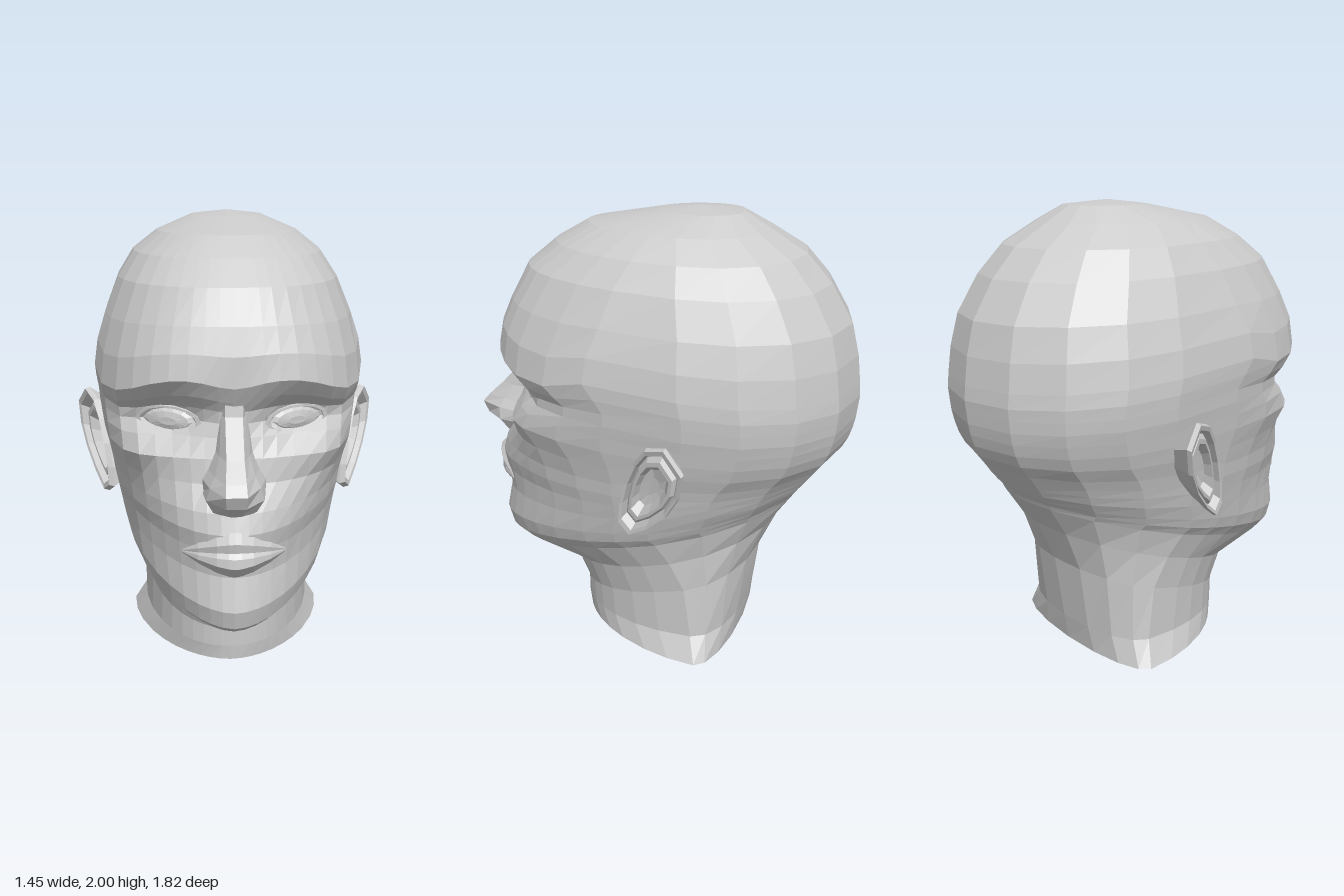
import * as THREE from 'three';

const material = new THREE.MeshStandardMaterial({ color: 0xcccccc, flatShading: true });

// Skin a stack of closed rings, with a fan at each end.
function loft(name, rings) {
  const n = rings[0].length, last = rings.length - 1;
  const points = rings.flat();
  const middle = (ring) => [0, 1, 2].map((k) => ring.reduce((s, p) => s + p[k], 0) / n);
  const start = points.push(middle(rings[0])) - 1;
  const end = points.push(middle(rings[last])) - 1;
  const index = [];
  for (let j = 0; j < n; j++) {
    const k = (j + 1) % n;
    index.push(start, j, k, end, last * n + k, last * n + j);
    for (let i = 0; i < last; i++) {
      const a = i * n + j, b = i * n + k;
      index.push(a, a + n, b, b, a + n, b + n);
    }
  }
  const geometry = new THREE.BufferGeometry();
  geometry.setAttribute('position', new THREE.Float32BufferAttribute(points.flat(), 3));
  geometry.setIndex(index);
  geometry.computeVertexNormals();
  const mesh = new THREE.Mesh(geometry, material);
  mesh.name = name;
  return mesh;
}

const mirror = (rings) => rings.map((r) => r.map(([x, y, z]) => [-x, y, z]).reverse());

// Soft push around a spot on both sides of the face: x, y, radius x, radius y, up, forward.
const bumps = [
  [0.5, 1.38, 0.16, 0.15, -0.07, 0],   // outer end of the brow
  [0, 1.38, 0.12, 0.12, -0.04, 0],     // dip between the brows
  [0.27, 1.21, 0.15, 0.08, 0, -0.1],   // eye sockets
  [0.22, 1.38, 0.16, 0.04, 0, 0.015],  // brow ridge
  [0.45, 1.07, 0.13, 0.1, 0, 0.06],    // cheekbones
  [0.34, 0.76, 0.1, 0.12, 0, -0.02],   // hollows beside the mouth
];
function sculpt([x, y, z]) {
  const fade = THREE.MathUtils.smoothstep(z, 0.1, 0.35);
  let up = 0, forward = 0;
  for (const [bx, by, rx, ry, dy, dz] of bumps) {
    const g = fade * Math.exp(-(((Math.abs(x) - bx) / rx) ** 2) - ((y - by) / ry) ** 2);
    up += dy * g;
    forward += dz * g;
  }
  return [x, y + up, z + forward];
}

// Skull, face, jaw and neck: front y, back y, front z, back z, half width, squareness.
const headRings = [
  [1.98, 1.98, 0, -0.38, 0.16, 2],
  [1.92, 1.91, 0.32, -0.5, 0.32, 2],
  [1.84, 1.82, 0.46, -0.65, 0.43, 2.2],
  [1.74, 1.7, 0.58, -0.76, 0.5, 2.4],
  [1.6, 1.54, 0.65, -0.855, 0.56, 2.6],
  [1.5, 1.4, 0.685, -0.89, 0.595, 2.8],
  [1.4, 1.28, 0.69, -0.905, 0.61, 2.9],
  [1.33, 1.22, 0.66, -0.91, 0.61, 2.75],
  [1.27, 1.17, 0.64, -0.905, 0.605, 2.6],
  [1.21, 1.12, 0.64, -0.9, 0.6, 2.6],
  [1.15, 1.07, 0.65, -0.89, 0.59, 2.65],
  [1.07, 1.02, 0.67, -0.875, 0.58, 2.55],
  [0.97, 0.97, 0.69, -0.85, 0.565, 2.3],
  [0.87, 0.92, 0.765, -0.81, 0.55, 1.97],
  [0.79, 0.88, 0.795, -0.78, 0.54, 1.87],
  [0.71, 0.85, 0.785, -0.757, 0.53, 1.8],
  [0.6, 0.82, 0.77, -0.735, 0.515, 1.8],
  [0.46, 0.79, 0.805, -0.71, 0.495, 1.75],
  [0.38, 0.77, 0.785, -0.69, 0.48, 1.72],
  [0.33, 0.75, 0.71, -0.68, 0.455, 1.72],
  [0.28, 0.61, 0.42, -0.58, 0.42, 1.9],
  [0.16, 0.42, 0.36, -0.495, 0.405, 2],
  [0.07, 0.12, 0.36, -0.45, 0.41, 2],
  [0, 0, 0.355, -0.43, 0.47, 1.8],
];
function headRing([yF, yB, zF, zB, w, n]) {
  // Widest point, moving back towards the shoulders at the foot of the neck.
  const zW = zB + (zF - zB) * (0.15 + 0.25 * Math.min(1, yF / 0.28));
  const half = [0, 0.1, 0.2, 0.3, 0.42, 0.54, 0.66, 0.78, 0.9, 0.97, 1]
    .map((u) => [u * w, zW + (zF - zW) * (1 - u ** n) ** (1 / n)]);
  for (const degrees of [22, 44, 66, 90]) {
    const a = THREE.MathUtils.degToRad(degrees);
    half.push([degrees === 90 ? 0 : w * Math.cos(a), zW - (zW - zB) * Math.sin(a)]);
  }
  const other = half.slice(1, -1).reverse().map(([x, z]) => [-x, z]);
  return [...half, ...other].map(([x, z]) =>
    sculpt([x, yB + (yF - yB) * (z - zB) / (zF - zB), z]));
}

// Nose: y, ridge half width and z, wing half width and z, root half width and z.
const noseRings = [
  [1.33, 0.035, 0.645, 0.05, 0.62, 0.07, 0.56],
  [1.24, 0.035, 0.66, 0.05, 0.62, 0.07, 0.55],
  [1.1, 0.035, 0.795, 0.06, 0.72, 0.085, 0.6],
  [1.03, 0.04, 0.87, 0.08, 0.77, 0.11, 0.64],
  [0.99, 0.042, 0.905, 0.1, 0.79, 0.13, 0.66],
  [0.935, 0.038, 0.88, 0.115, 0.78, 0.13, 0.66],
  [0.87, 0.02, 0.79, 0.085, 0.745, 0.1, 0.66],
].map(([y, r, zr, m, zm, b, zb]) => {
  const right = [[r, y, zr], [m, y, zm], [b, y, zb]];
  return [...right, ...mirror([right])[0]];
});

// Lips: one profile swept from corner to corner, thinning outwards.
const lipProfile = [[0.085, 0], [0.05, 0.042], [0.01, 0.035], [0, 0.012],
  [-0.02, 0.03], [-0.06, 0.035], [-0.115, -0.015], [-0.01, -0.06]];
const lipRings = [1, 0.7, 0.35, 0.12, 0, -0.12, -0.35, -0.7, -1].map((u) => {
  const taper = 0.08 + 0.92 * (1 - Math.abs(u) ** 1.5);
  return lipProfile.map(([y, z]) =>
    [0.21 * u, 0.72 - 0.035 * u * u + y * taper, 0.79 - 0.11 * u * u + z * taper]);
});

// Eye: almond outline from the eyeball out over the lid to the socket.
const eyeRings = [[0.3, 0.022], [0.7, 0.015], [0.92, 0], [0.97, 0.022], [1.12, 0.022], [1.4, -0.05]]
  .map(([s, lift]) => Array.from({ length: 14 }, (_, i) => {
    const a = (i / 14) * Math.PI * 2;
    const x = 0.265 + 0.122 * Math.cos(a) * Math.min(s, 1.15);
    const d = x - 0.13;
    const height = Math.sin(a) > 0 ? 0.06 : 0.045;
    return [x, 1.195 + height * s * Math.sin(a), 0.575 - 0.2 * d - 1.1 * d * d + lift];
  }));

// Ear: outline as z, y; rings run from the hollow over the rim to the root.
const earOutline = [[-0.24, 1.155], [-0.14, 1.12], [-0.08, 1.04], [-0.03, 0.93], [0, 0.82],
  [0.01, 0.73], [-0.05, 0.69], [-0.15, 0.76], [-0.25, 0.86], [-0.31, 0.96], [-0.33, 1.07]];
const earRings = [[0.2, -0.06], [0.42, -0.05], [0.58, 0], [0.68, 0], [0.78, -0.02],
  [0.87, 0.02], [0.97, 0.025], [1, 0], [0.92, -0.03], [0.62, -0.15]]
  .map(([s, lift]) => earOutline.map(([oz, oy]) => {
    const z = -0.15 + (oz + 0.15) * s, y = 0.92 + (oy - 0.92) * s;
    return [0.54 - 0.5 * z + lift, y, z];
  }));

export function createModel() {
  const model = new THREE.Group();
  model.name = 'headBust';
  model.add(
    loft('headAndNeck', [Array(28).fill([0, 2, -0.18]), ...headRings.map(headRing)]),
    loft('nose', noseRings),
    loft('lips', lipRings),
    loft('leftEye', eyeRings),
    loft('rightEye', mirror(eyeRings)),
    loft('leftEar', earRings),
    loft('rightEar', mirror(earRings)),
  );
  return model;
}
